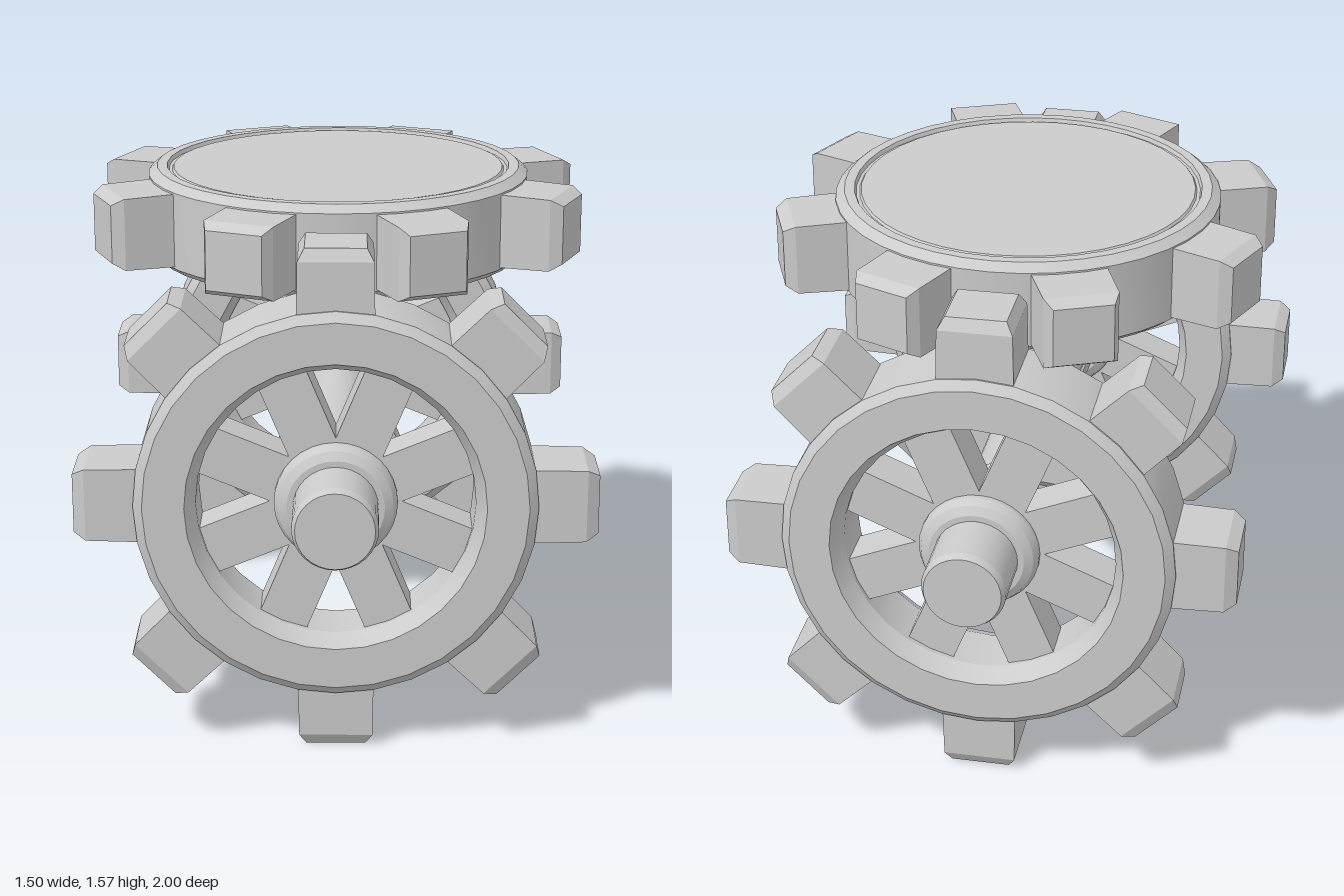
import * as THREE from 'three';
import { toCreasedNormals } from 'three/addons/utils/BufferGeometryUtils.js';

const material = new THREE.MeshStandardMaterial({ color: 0xcccccc });

function part(name, geometry, parent) {
  const mesh = new THREE.Mesh(geometry, material);
  mesh.name = name;
  parent.add(mesh);
  return mesh;
}

// Turned solid around y; profile runs upward on the outside
function turned(points, segments = 32) {
  const profile = points.map(([r, y]) => new THREE.Vector2(r, y));
  return toCreasedNormals(new THREE.LatheGeometry(profile, segments), 0.4);
}

// Radial cog block along +x with a bevelled tip
function toothGeometry() {
  const radii = [0.5, 0.715, 0.75];
  const halves = [0.111, 0.107, 0.087];
  const box = new THREE.BoxGeometry(1, 1, 1, 2, 1, 1);
  const p = box.attributes.position;
  for (let i = 0; i < p.count; i++) {
    const k = Math.round(p.getX(i) * 2) + 1;
    p.setXYZ(i, radii[k], Math.sign(p.getY(i)) * halves[k], Math.sign(p.getZ(i)) * halves[k]);
  }
  const geometry = box.toNonIndexed();
  geometry.computeVertexNormals();
  return geometry;
}

function ringOf(name, geometry, offset, parent) {
  for (let i = 0; i < 8; i++) {
    part(name, geometry, parent).rotation.y = offset + (i * Math.PI) / 4;
  }
}

// Spoked cog wheel, axis along y
function spokedWheel(tooth) {
  const wheel = new THREE.Group();
  wheel.name = 'spokedWheel';
  part('rim', turned([
    [0.40, -0.08], [0.43, -0.137], [0.55, -0.137], [0.577, -0.115],
    [0.577, 0.115], [0.55, 0.137], [0.43, 0.137], [0.40, 0.08], [0.40, -0.08],
  ]), wheel);
  part('hub', turned([
    [0, -0.12], [0.14, -0.12], [0.165, -0.105], [0.177, -0.08],
    [0.177, 0.08], [0.165, 0.105], [0.14, 0.12], [0, 0.12],
  ]), wheel);
  const spoke = new THREE.BoxGeometry(0.32, 0.13, 0.145);
  spoke.translate(0.26, 0, 0);
  ringOf('spoke', spoke, Math.PI / 8, wheel);
  ringOf('tooth', tooth, 0, wheel);
  return wheel;
}

// Solid cog with a shallow groove around each face
function solidCog(tooth) {
  const cog = new THREE.Group();
  cog.name = 'topCog';
  part('disc', turned([
    [0, -0.125], [0.505, -0.125], [0.52, -0.137], [0.55, -0.137], [0.577, -0.115],
    [0.577, 0.115], [0.55, 0.137], [0.52, 0.137], [0.515, 0.125], [0.505, 0.125],
    [0.5, 0.132], [0, 0.132],
  ], 40), cog);
  ringOf('tooth', tooth, Math.PI / 8, cog);
  return cog;
}

export function createModel() {
  const model = new THREE.Group();
  model.name = 'cogTable';
  const tooth = toothGeometry();
  const axleY = 0.755;

  // Wheels and the thick axle sleeves through them, front and back
  for (const side of [1, -1]) {
    const wheel = spokedWheel(tooth);
    wheel.rotation.x = (side * Math.PI) / 2;
    wheel.position.set(0, axleY, side * 0.69);
    model.add(wheel);

    const sleeve = part('axleSleeve', turned([
      [0, 0.455], [0.108, 0.455], [0.122, 0.475],
      [0.122, 0.98], [0.112, 1.0], [0, 1.0],
    ]), model);
    sleeve.rotation.x = (side * Math.PI) / 2;
    sleeve.position.y = axleY;
  }

  // Thin middle shaft
  const shaft = part('axleShaft', new THREE.CylinderGeometry(0.1, 0.1, 0.94, 32), model);
  shaft.rotation.x = Math.PI / 2;
  shaft.position.y = axleY;

  // Horizontal cog meshing with both wheels
  const cog = solidCog(tooth);
  cog.position.y = 1.438;
  model.add(cog);
  return model;
}
